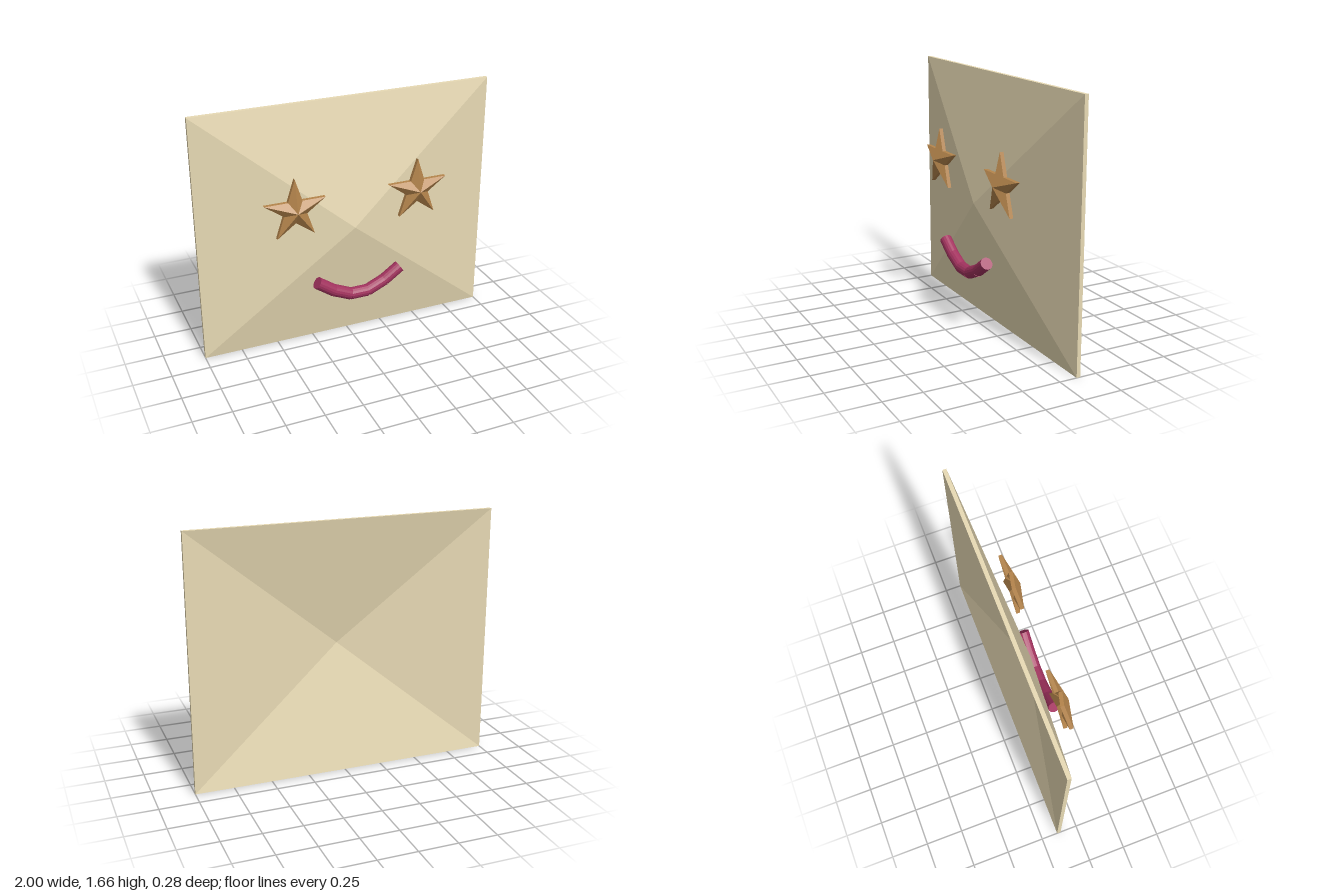
import * as THREE from 'three';

const material = (color) => new THREE.MeshStandardMaterial({ color, flatShading: true });

// Thin pyramid shell: counter-clockwise outline, raised front apex, hollow parallel back
function pyramidShell(outline, rise, thickness) {
  const positions = [];
  const tri = (...points) => points.forEach((p) => positions.push(...p));
  outline.forEach(([ax, ay], i) => {
    const [bx, by] = outline[(i + 1) % outline.length];
    const a = [ax, ay, thickness], b = [bx, by, thickness];
    const a0 = [ax, ay, 0], b0 = [bx, by, 0];
    tri([0, 0, thickness + rise], a, b); // front facet
    tri([0, 0, rise], b0, a0);           // back facet
    tri(a, a0, b0);                      // rim
    tri(a, b0, b);
  });
  const geometry = new THREE.BufferGeometry();
  geometry.setAttribute('position', new THREE.Float32BufferAttribute(positions, 3));
  geometry.computeVertexNormals();
  return geometry;
}

export function createModel() {
  const model = new THREE.Group();
  model.name = 'starEyedFace';

  // Face panel: shallow rectangular pyramid
  const w = 1, h = 0.83;
  const panel = new THREE.Mesh(
    pyramidShell([[-w, -h], [w, -h], [w, h], [-w, h]], 0.155, 0.025),
    material(0xe8dab4)
  );
  panel.name = 'facePanel';
  panel.position.set(0, h, -0.14);
  model.add(panel);

  // Star eyes: five points, each with a ridge running to the apex
  const starOutline = Array.from({ length: 10 }, (_, i) => {
    const radius = i % 2 ? 0.08 : 0.21;
    const angle = Math.PI / 2 + (i * Math.PI) / 5;
    return [radius * Math.cos(angle), radius * Math.sin(angle)];
  });
  const starGeometry = pyramidShell(starOutline, 0.05, 0.025);
  const starMaterial = material(0xb5854c);
  for (const [name, side] of [['leftEye', 1], ['rightEye', -1]]) {
    const eye = new THREE.Mesh(starGeometry, starMaterial);
    eye.name = name;
    eye.position.set(side * 0.415, 1.04, 0.055);
    model.add(eye);
  }

  // Smile: straight rods meeting end to end along an arc
  const smile = new THREE.Group();
  smile.name = 'smile';
  const smileMaterial = material(0xa3335f);
  const path = [[-0.29, 0.52], [-0.18, 0.443], [-0.06, 0.39], [0.06, 0.39], [0.18, 0.443], [0.29, 0.52]]
    .map(([x, y]) => new THREE.Vector3(x, y, 0.1));
  for (let i = 0; i < path.length - 1; i++) {
    const direction = path[i + 1].clone().sub(path[i]);
    const rod = new THREE.Mesh(
      new THREE.CylinderGeometry(0.04, 0.04, direction.length(), 16),
      smileMaterial
    );
    rod.name = `smileSegment${i + 1}`;
    rod.position.copy(path[i]).lerp(path[i + 1], 0.5);
    rod.quaternion.setFromUnitVectors(new THREE.Vector3(0, 1, 0), direction.normalize());
    smile.add(rod);
  }
  model.add(smile);

  return model;
}
